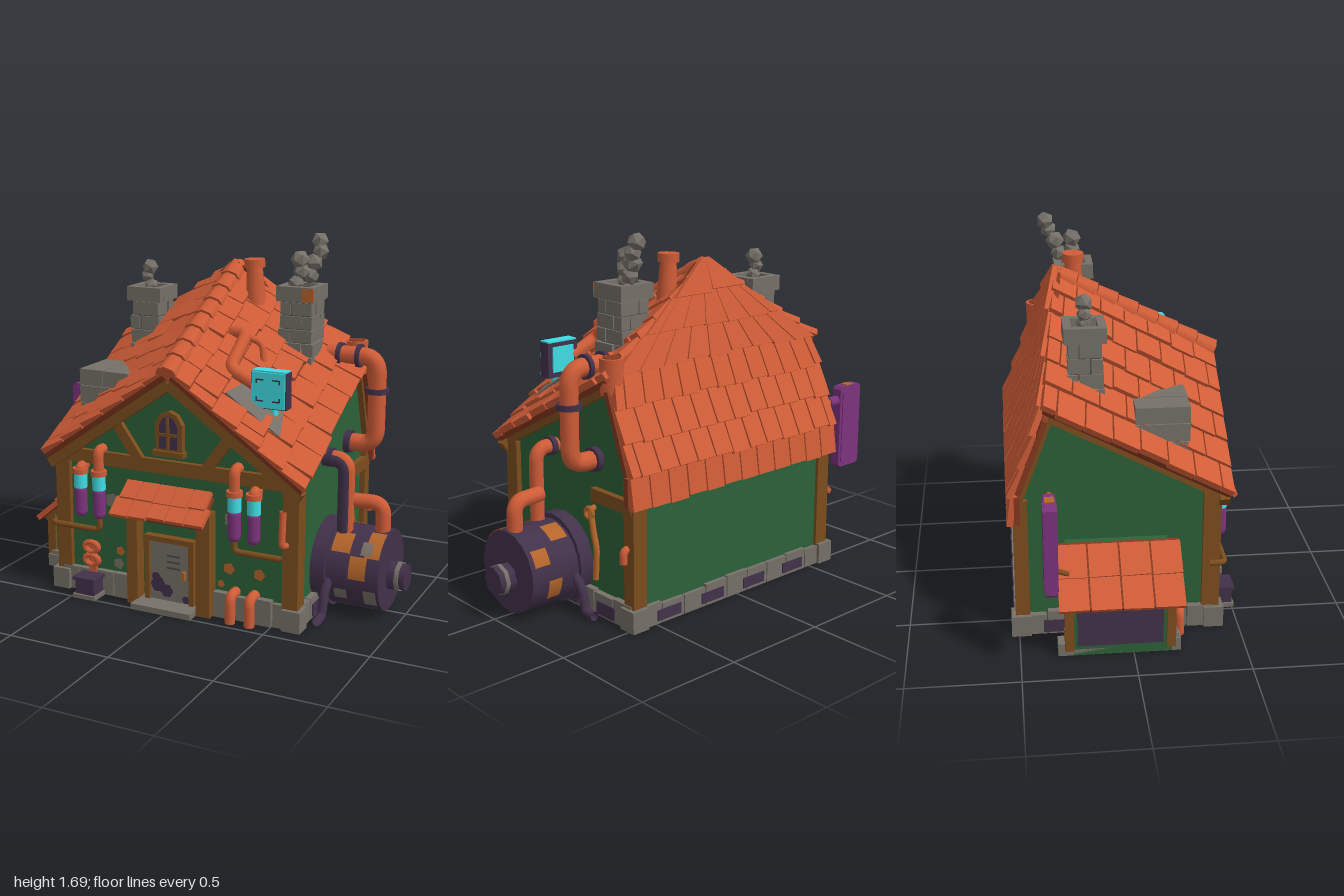
import * as THREE from 'three';
import { mergeGeometries } from 'three/addons/utils/BufferGeometryUtils.js';

const mat = (name, color, side = THREE.FrontSide) => new THREE.MeshStandardMaterial({ name, color, side });
const V = (x, y, z) => new THREE.Vector3(x, y, z);

export function createModel() {
  const root = new THREE.Group();
  root.name = 'cottage';
  const D = THREE.DoubleSide;
  const clay = mat('clay orange', 0xcf5c37, D), gap = mat('tile shadow', 0x85381f);
  const green = mat('wall green', 0x2c6138, D), wood = mat('timber brown', 0x7c4d1d);
  const stone = mat('stone grey', 0x757068, D), iron = mat('dark iron', 0x42314a, D);
  const purple = mat('bright purple', 0x7c337c), cyan = mat('glowing cyan', 0x40dce4);
  const rust = mat('rust', 0xb4652a, D), mortar = mat('mortar', 0x504b46);
  let seed = 7;
  const rnd = () => (seed = (seed * 16807) % 2147483647) / 2147483647 - 0.5;

  const add = (name, geo, m, x = 0, y = 0, z = 0) => {
    const mesh = new THREE.Mesh(geo, m);
    mesh.name = name;
    mesh.position.set(x, y, z);
    root.add(mesh);
    return mesh;
  };
  // box given by its min and max on each axis
  const boxGeo = (x0, x1, y0, y1, z0, z1) =>
    new THREE.BoxGeometry(x1 - x0, y1 - y0, z1 - z0).translate((x0 + x1) / 2, (y0 + y1) / 2, (z0 + z1) / 2);
  const box = (name, m, ...b) => add(name, boxGeo(...b), m);
  const beam = (name, m, a, b, w, h) => {
    const mesh = add(name, new THREE.BoxGeometry(w, h, a.distanceTo(b)), m, ...a.clone().add(b).multiplyScalar(0.5));
    mesh.lookAt(b);
  };
  // cylinder running from a to b
  const rod = (name, m, a, b, ra, rb = ra, sides = 12) => {
    const mesh = add(name, new THREE.CylinderGeometry(rb, ra, a.distanceTo(b), sides), m, ...a.clone().add(b).multiplyScalar(0.5));
    mesh.quaternion.setFromUnitVectors(V(0, 1, 0), b.clone().sub(a).normalize());
  };
  // tube with rounded corners
  const pipe = (name, m, pts, r, bend = 0.06) => {
    const path = new THREE.CurvePath();
    const p = pts.map(q => V(...q));
    let from = p[0];
    for (let i = 1; i < p.length - 1; i++) {
      const cut = q => p[i].clone().lerp(q, Math.min(bend / p[i].distanceTo(q), 0.45));
      const a = cut(p[i - 1]), b = cut(p[i + 1]);
      path.add(new THREE.LineCurve3(from, a));
      path.add(new THREE.QuadraticBezierCurve3(a, p[i], b));
      from = b;
    }
    path.add(new THREE.LineCurve3(from, p[p.length - 1]));
    add(name, new THREE.TubeGeometry(path, 12 * p.length, r, 10), m);
  };
  // slab spanning four corners: a box whose vertices follow the quad
  const slab = (a, b, c, d, t) => {
    const g = new THREE.BoxGeometry(1, 1, 1), p = g.attributes.position;
    const n = b.clone().sub(a).cross(d.clone().sub(a)).normalize();
    for (let i = 0; i < p.count; i++) {
      const lo = a.clone().lerp(b, p.getX(i) + 0.5), hi = d.clone().lerp(c, p.getX(i) + 0.5);
      const q = lo.lerp(hi, p.getY(i) + 0.5).addScaledVector(n, p.getZ(i) * t);
      p.setXYZ(i, q.x, q.y, q.z);
    }
    const flat = g.toNonIndexed();
    flat.computeVertexNormals();
    return flat;
  };
  const extrude = (pts, depth) =>
    new THREE.ExtrudeGeometry(new THREE.Shape(pts.map(q => new THREE.Vector2(...q))), { depth, bevelEnabled: false });

  // walls and floor
  add('frontWall', extrude([[-.6, 0], [.6, 0], [.6, .67], [0, 1.1], [-.6, .67]], .03), green, 0, 0, .355);
  const sidePts = [[.38, 0], [.38, .7], [-.345, 1.08], [-.39, .95], [-.5, .66], [-.5, 0]];
  for (const x of [-.57, .6]) add('sideWall', extrude(sidePts, .03).rotateY(-Math.PI / 2), green, x);
  box('backWall', green, -.6, .6, 0, .68, -.5, -.47);
  box('floor', stone, -.61, .61, 0, .03, -.51, .4);
  box('shedFloor', stone, -.82, -.6, 0, .03, -.3, .18);

  // main roof: two planes rising to the back
  const roofY = (x, z) => 1.13 + (.46 - z) * .53 - Math.abs(x) * .7;
  const R = (x, v, lift = 0) => {
    const z = .455 + v * (-.745 - .136 * Math.abs(x));
    return V(x, roofY(x, z) + lift, z);
  };
  const under = [], tiles = [];
  const cols = 6, rows = 7;
  for (const s of [-1, 1]) {
    under.push(slab(R(0, .01, -.02), R(.65 * s, .01, -.02), R(.65 * s, .99, -.02), R(0, .99, -.02), .03));
    for (let i = 0; i < cols; i++) {
      const x0 = s * .66 * i / cols, x1 = s * .66 * (i + 1.08) / cols;
      for (let j = 0; j <= rows; j++) {
        const off = i % 2 ? .5 : 0;
        const v0 = Math.max(0, (j - off) / rows) + .004, v1 = Math.min(1, (j + 1 - off) / rows) - .004;
        if (v1 - v0 < .02) continue;
        const k = .016 + rnd() * .014, e = x1 + rnd() * .012;
        tiles.push(slab(R(x0, v0, -.004), R(e, v0, k), R(e, v1, k), R(x0, v1, -.004), .03));
      }
    }
  }
  // steep back roof with a slight flare
  const prof = [[.56, -.515], [.7, -.515], [1.05, -.385], [1.54, -.285]];
  const backZ = y => {
    const i = y < .7 ? 0 : y < 1.05 ? 1 : 2, [a, b] = [prof[i], prof[i + 1]];
    return a[1] + (b[1] - a[1]) * (y - a[0]) / (b[0] - a[0]);
  };
  const backW = y => Math.max(.02, y < 1.1 ? .65 : .65 * (1.55 - y) / .45);
  const B = (u, y, out = 0) => V(u * backW(y), y, backZ(y) - out);
  for (let i = 0; i < 3; i++) {
    const [y0, y1] = [prof[i][0] + .01, prof[i + 1][0]];
    under.push(slab(B(-1, y0, -.02), B(1, y0, -.02), B(1, y1, -.02), B(-1, y1, -.02), .025));
  }
  for (let i = 0; i < 7; i++) {
    const y0 = .56 + .14 * i, y1 = y0 + .145;
    const n = Math.max(2, Math.round(backW((y0 + y1) / 2) / .055));
    for (let j = 0; j <= n; j++) {
      const off = i % 2 ? .5 : 0;
      const u0 = Math.max(-1, -1 + 2 * (j - off) / n) + .006, u1 = Math.min(1, -1 + 2 * (j + 1 - off) / n) - .006;
      if (u1 - u0 < .03) continue;
      const yb = y0 + rnd() * .014;
      tiles.push(slab(B(u0, yb, .014), B(u1, yb, .014), B(u1, y1, -.006), B(u0, y1, -.006), .028));
    }
  }
  // door canopy and lean-to roof tiles
  for (let r = 0; r < 2; r++) for (let i = 0; i < 5; i++) {
    const w = r ? .096 : .088, x = -.01 + (i - 2.5) * w, z = .405 + r * .065, y = .588 - r * .062;
    const yb = y - .058 + rnd() * .012;
    tiles.push(slab(V(x, yb, z + .08), V(x + w - .006, yb, z + .08), V(x + w - .006, y, z), V(x, y, z), .022));
  }
  for (let r = 0; r < 2; r++) for (let i = 0; i < 4; i++) {
    const x = -.64 - r * .11, y = .45 - r * .1, z = -.33 + i * .14;
    tiles.push(slab(V(x, y, z), V(x, y, z + .132), V(x - .12, y - .1 + rnd() * .012, z + .132), V(x - .12, y - .1, z), .026));
  }
  under.push(slab(V(-.62, .45, -.32), V(-.62, .45, .22), V(-.86, .25, .22), V(-.86, .25, -.32), .02));
  under.push(slab(V(-.23, .455, .53), V(.21, .455, .53), V(.21, .56, .4), V(-.23, .56, .4), .012));
  add('roofUnderlay', mergeGeometries(under), gap);
  add('roofTiles', mergeGeometries(tiles), clay);
  for (let i = 0; i < 8; i++)
    rod('ridgeCap', clay, R(0, i / 8 + .004, -.02), R(0, (i + 1) / 8 - .004, -.02), .056, .049, 8);

  // timber frame
  for (const s of [-1, 1]) {
    for (const [z0, z1] of [[.33, .41], [-.515, -.45]])
      box('cornerPost', wood, ...(s < 0 ? [-.625, -.55] : [.55, .625]), .03, .67, z0, z1);
    beam('bargeBoard', wood, V(0, 1.075, .42), V(.64 * s, .63, .42), .045, .05);
    beam('eaveBeam', wood, V(.61 * s, .665, .4), V(.61 * s, 1.055, -.345), .035, .04);
    beam('rearRake', wood, V(.61 * s, 1.05, -.35), V(.61 * s, .62, -.505), .035, .035);
    beam('gableBrace', wood, V(.17 * s, .69, .395), V(.3 * s, .87, .395), .03, .05);
  }
  box('frontBeam', wood, -.55, .55, .645, .71, .37, .41);
  box('backBeam', wood, -.58, .58, .6, .65, -.51, -.48);
  box('sideBeam', wood, .6, .63, .53, .59, -.5, -.23);

  // gable window
  const arch = (w, h) => [[-w, 0], [w, 0], [w, h * .7], [w * .6, h * .92], [0, h], [-w * .6, h * .92], [-w, h * .7]];
  add('windowFrame', extrude(arch(.068, .2), .03), wood, -.012, .745, .385);
  add('windowPane', extrude(arch(.046, .155), .006), iron, -.012, .77, .414);
  box('windowBar', wood, -.019, -.005, .77, .92, .419, .427);
  box('windowBar', wood, -.056, .032, .83, .843, .419, .427);
  box('windowSill', wood, -.09, .066, .735, .76, .385, .43);

  // doorway
  for (const [a, b] of [[-.22, -.165], [.14, .21]]) box('doorPost', wood, a, b, 0, .5, .385, .45);
  box('doorLintel', wood, -.22, .21, .43, .47, .385, .45);
  for (const [a, b] of [[-.14, -.115], [.09, .115]]) box('doorJamb', wood, a, b, .03, .345, .385, .425);
  box('doorJamb', wood, -.14, .115, .32, .345, .385, .425);
  box('door', stone, -.115, .09, .03, .32, .385, .41);
  for (const [x, y, r] of [[-.075, .105, .04], [-.03, .08, .035], [-.085, .14, .025], [.07, .05, .02]])
    add('doorStain', new THREE.CircleGeometry(r, 6), iron, x, y, .412 + r * .02);
  for (const y of [.19, .22, .25]) box('doorSlot', mortar, -.03, .04, y, y + .01, .41, .413);
  box('doorHandle', rust, .055, .07, .15, .19, .41, .425);
  box('doorStep', stone, -.17, .14, 0, .028, .38, .51);

  // stone footing, with thin dark stains on some blocks
  const blocks = [], stains = [];
  const run = (a, b, n, put) => {
    for (let i = 0; i < n; i++) put(a + (b - a) * i / n + .003, a + (b - a) * (i + 1) / n - .003, .115 + rnd() * .02, i % 2);
  };
  for (const [a, b] of [[-.6, -.22], [.21, .6]])
    run(a, b, 4, (p, q, h) => blocks.push(boxGeo(p, q, 0, h, .37, .412 + rnd() * .01)));
  run(-.6, .6, 9, (p, q, h, odd) => {
    blocks.push(boxGeo(p, q, 0, h - .02, -.52, -.48));
    if (odd) stains.push(boxGeo(p + .02, q + .03, .015, .065, -.525, -.52));
  });
  for (const s of [-1, 1]) run(-.5, .39, 7, (p, q, h, odd) => {
    blocks.push(boxGeo(s * .605 - .025, s * .605 + .025, 0, h - .01, p, q));
    if (odd) stains.push(boxGeo(s * .6325 - .0025, s * .6325 + .0025, .01, .07, p - .02, q - .02));
  });
  for (const x of [-.6, .6]) for (const z of [-.49, .385]) blocks.push(boxGeo(x - .045, x + .045, 0, .1, z - .045, z + .045));
  for (const z of [-.3, .18]) blocks.push(boxGeo(-.82, -.75, 0, .06, z - .035, z + .03));
  run(-.81, -.62, 2, (p, q, h) => blocks.push(boxGeo(p, q, 0, h - .03, .16, .2)));
  add('stoneFooting', mergeGeometries(blocks), stone);
  add('footingStain', mergeGeometries(stains), iron);

  // lean-to shed
  add('shedWalls', extrude([[-.82, 0], [-.6, 0], [-.6, .46], [-.82, .27]], .46), green, 0, 0, -.29);
  for (const z of [-.305, .145]) {
    box('shedPost', wood, -.835, -.79, .03, .28, z, z + .04);
    beam('shedRafter', wood, V(-.61, .44, z + .02), V(-.85, .24, z + .02), .035, .035);
  }
  box('shedPanel', iron, -.828, -.82, .05, .24, -.25, .13);
  box('shedRail', wood, -.835, -.81, .235, .265, -.29, .17);

  // brick chimneys
  const chimney = (x, z, y0, y1, w) => {
    const parts = [], n = Math.round((y1 - y0) / .065), h = (y1 - y0) / n;
    for (let i = 0; i < n; i++) {
      const r = w * (1.12 - .2 * i / n), y = y0 + i * h, m = (i % 2 ? .35 : -.3) * r;
      for (const [a, b] of [[-r, m], [m, r]]) for (const [c, d] of [[-r, -m], [-m, r]]) {
        const o = rnd() * .012;
        parts.push(boxGeo(x + a + .003 + o, x + b - .003 + o, y, y + h - .005, z + c + .003, z + d - .003));
      }
    }
    for (const s of [-1, 1]) {
      parts.push(boxGeo(x - .092, x + .092, y1, y1 + .07, z + s * .075 - .018, z + s * .075 + .018));
      parts.push(boxGeo(x + s * .075 - .018, x + s * .075 + .018, y1, y1 + .07, z - .06, z + .06));
    }
    add('chimneyBricks', mergeGeometries(parts), stone);
    box('chimneyCore', mortar, x - w * .85, x + w * .85, y0, y1 + .01, z - w * .85, z + w * .85);
    box('chimneyFlue', iron, x - .06, x + .06, y1, y1 + .03, z - .06, z + .06);
  };
  chimney(-.415, -.18, 1.06, 1.34, .078);
  chimney(.385, -.175, 1.08, 1.395, .085);
  box('rustyBrick', rust, .42, .479, 1.4, 1.46, -.085, -.079);
  // faceted smoke puffs
  for (const [x, y, z, r] of [[-.42, 1.41, -.18, .036], [-.44, 1.455, -.18, .034], [-.425, 1.5, -.18, .042],
    [.36, 1.47, -.16, .042], [.38, 1.525, -.18, .042], [.37, 1.58, -.18, .046],
    [.4, 1.5, -.24, .042], [.405, 1.56, -.26, .046], [.43, 1.61, -.29, .042], [.42, 1.655, -.305, .044]])
    add('smokePuff', new THREE.IcosahedronGeometry(r, 0).rotateY(x * 40 + y * 9), stone, x, y, z);

  // squared stone block and flat patch set into the roof
  for (const [y0, y1, split] of [[.8, .9, -.46], [.9, .985, -.4], [.985, 1.065, -.44]]) {
    box('roofStone', stone, -.565, split - .003, y0, y1 - .004, .03, .27 + rnd() * .015);
    box('roofStone', stone, split + .003, -.3, y0, y1 - .004, .03, .28 + rnd() * .015);
  }
  box('roofStoneCore', mortar, -.555, -.31, .8, 1.055, .04, .26);
  const P = (x, z) => V(x, roofY(x, z) + .024, z);
  add('roofPatch', slab(P(.24, .35), P(.5, .34), P(.46, .2), P(.3, .2), .009), stone);

  // roof stack, pipes and screen
  rod('roofStack', clay, V(.145, 1.33, -.19), V(.135, 1.53, -.19), .05, .038);
  rod('roofStackLip', clay, V(.135, 1.53, -.19), V(.134, 1.57, -.19), .05, .05);
  pipe('screenPipe', clay, [[.13, 1.2, .05], [.13, 1.26, .05], [.21, 1.26, .06], [.21, 1.13, .24], [.36, 1.06, .24]], .03, .04);
  rod('screenPipeCollar', clay, V(.13, 1.21, .05), V(.13, 1.235, .05), .04);
  pipe('thinRoofPipe', clay, [[.2, 1.25, .06], [.29, 1.22, .06], [.31, 1.1, .08], [.45, 1.03, .03]], .016, .03);
  box('screenCase', iron, .335, .505, .975, 1.14, .225, .285);
  box('screenTop', cyan, .34, .5, 1.14, 1.147, .225, .285);
  box('screenBack', cyan, .36, .48, 1, 1.12, .219, .225);
  box('screen', cyan, .34, .5, .98, 1.14, .285, .293);
  for (const s of [-1, 1]) for (const t of [-1, 1]) {
    const x = .42 + s * .04, y = 1.06 + t * .04;
    box('screenMark', iron, x - .018, x + .018, y + t * .008 - .003, y + t * .008 + .003, .293, .296);
    box('screenMark', iron, x + s * .015 - .003, x + s * .015 + .003, y - .01, y + .01, .293, .296);
  }
  rod('screenPost', cyan, V(.44, .87, .27), V(.44, .98, .255), .016);

  // large outer pipe on the left wall
  pipe('outerPipe', clay, [[.5, 1.14, -.24], [.745, 1.14, -.24], [.745, .72, -.24], [.58, .72, -.24]], .042, .08);
  for (const [a, b] of [[[.55, 1.14], [.57, 1.14]], [[.645, 1.14], [.665, 1.14]], [[.745, .97], [.745, .995]], [[.6, .72], [.63, .72]]])
    rod('pipeFlange', iron, V(...a, -.24), V(...b, -.24), .056);
  rod('ventPipe', clay, V(.6, 1.03, -.35), V(.6, 1.19, -.35), .05, .055);
  rod('ventHole', gap, V(.6, 1.185, -.35), V(.6, 1.193, -.35), .04);

  // boiler
  rod('boilerFlange', iron, V(.6, .208, 0), V(.67, .208, 0), .208, .208, 20);
  rod('boilerDrum', iron, V(.62, .204, 0), V(.92, .204, 0), .19, .19, 20);
  rod('boilerNub', iron, V(.92, .18, 0), V(.96, .18, 0), .07, .07, 8);
  rod('boilerBand', stone, V(.955, .18, 0), V(.975, .18, 0), .072, .072, 8);
  rod('boilerNubTip', iron, V(.97, .18, 0), V(1, .18, 0), .065, .065, 8);
  for (const [x, len, t, a, m] of [[.73, .09, -1.15, .55, rust], [.88, .07, -1.3, .75, rust], [.82, .08, -.55, .55, rust],
    [.85, .05, -.95, .35, stone], [.88, .06, .25, .45, stone], [.74, .06, .3, .3, stone],
    [.73, .09, -2.3, .5, rust], [.86, .08, -2.8, .4, rust], [.8, .07, 2.6, .5, rust]])
    add('boilerPatch', new THREE.CylinderGeometry(.194, .194, len, 6, 1, true, t, a).rotateZ(-Math.PI / 2), m, x, .204, 0);
  for (const s of [-1, 1])
    pipe('boilerLeg', iron, [[.68, .18, .17 * s], [.68, .13, .22 * s], [.68, .022, .25 * s], [.68, .022, .31 * s]], .022, .03);
  pipe('tallBoilerPipe', clay, [[.58, .72, .05], [.715, .72, .05], [.715, .36, .05]], .034);
  pipe('tallPipeStain', iron, [[.58, .714, .057], [.708, .714, .057], [.708, .36, .057]], .034);
  pipe('bentBoilerPipe', clay, [[.72, .52, .02], [.875, .52, 0], [.875, .36, 0]], .036);
  rod('boilerCollar', iron, V(.62, .72, .05), V(.645, .72, .05), .045);
  pipe('wallPipe', rust, [[.6, .49, -.22], [.63, .49, -.23], [.63, .38, -.25], [.63, .32, -.27], [.63, .17, -.26]], .014, .03);
  add('wallValve', new THREE.TorusGeometry(.025, .01, 6, 12).rotateY(Math.PI / 2), rust, .63, .47, -.22);
  pipe('rearStub', clay, [[.6, .37, -.47], [.645, .37, -.47], [.645, .31, -.47]], .018, .03);

  // potion vials and their pipes
  for (const [x, top] of [[-.475, .63], [-.375, .72], [.325, .72], [.42, .63]]) {
    add('vialBottom', new THREE.CapsuleGeometry(.03, .1, 4, 12), purple, x, .465, .43);
    rod('vialGlow', cyan, V(x, .53, .43), V(x, .605, .43), .0315);
    rod('vialCap', clay, V(x, .6, .43), V(x, .625, .43), .038);
    pipe('vialPipe', clay, [[x, .61, .43], [x, top, .43], [x, top, .37]], .025, .03);
  }
  pipe('feedPipe', wood, [[-.375, .4, .43], [-.375, .33, .43], [-.64, .33, .43], [-.64, .33, .36]], .014, .03);
  pipe('feedPipe', wood, [[.325, .4, .43], [.325, .34, .43], [.56, .34, .43]], .014, .03);
  pipe('cornerPipe', clay, [[.555, .56, .42], [.555, .4, .43], [.57, .4, .4]], .016, .02);
  for (const x of [.315, .41])
    pipe('groundPipe', clay, [[x, .13, .37], [x, .13, .45], [x, 0, .45]], .024, .04);
  pipe('shedPipe', clay, [[-.6, .125, .22], [-.685, .125, .22], [-.685, 0, .22]], .023, .04);

  // coil heater and lamp box
  for (const y of [.17, .235]) add('coil', new THREE.TorusGeometry(.031, .015, 6, 12).scale(1.15, .8, 1), clay, -.43, y, .42);
  box('coilStem', clay, -.45, -.41, .1, .26, .4, .415);
  box('lampBox', iron, -.475, -.375, .015, .095, .41, .5);
  box('lampBase', stone, -.485, -.365, 0, .02, .4, .51);
  box('lampLid', iron, -.485, -.365, .09, .105, .4, .51);

  // hanging sign on its pole
  const rounded = (x0, x1, y0, y1, c) => [[x0 + c, y0], [x1 - c, y0], [x1, y0 + c], [x1, y1 - c], [x1 - c, y1], [x0 + c, y1], [x0, y1 - c], [x0, y0 + c]];
  add('signBoard', extrude(rounded(-1, -.85, .4, .82, .015), .05), purple, 0, 0, -.39);
  add('signFace', extrude(rounded(-.985, -.865, .415, .805, .015), .06), purple, 0, 0, -.395);
  box('signRust', rust, -.95, -.9, .82, .824, -.385, -.345);
  rod('signArm', purple, V(-.86, .745, -.36), V(-.79, .745, -.36), .026);
  rod('signJoint', clay, V(-.79, .745, -.36), V(-.735, .745, -.36), .02);
  pipe('signPole', wood, [[-.75, .77, -.36], [-.75, .4, -.36], [-.75, .37, -.28]], .012, .02);

  // peeled patches on the front wall
  for (const [x, y, r, m] of [[.28, .235, .03, rust], [.43, .23, .03, rust], [-.29, .225, .025, rust], [-.3, .16, .03, stone], [-.33, .47, .04, stone], [.29, .47, .04, stone], [.24, .155, .02, rust]])
    add('wallPatch', new THREE.CircleGeometry(r, 5), m, x, y, .388);
  return root;
}
